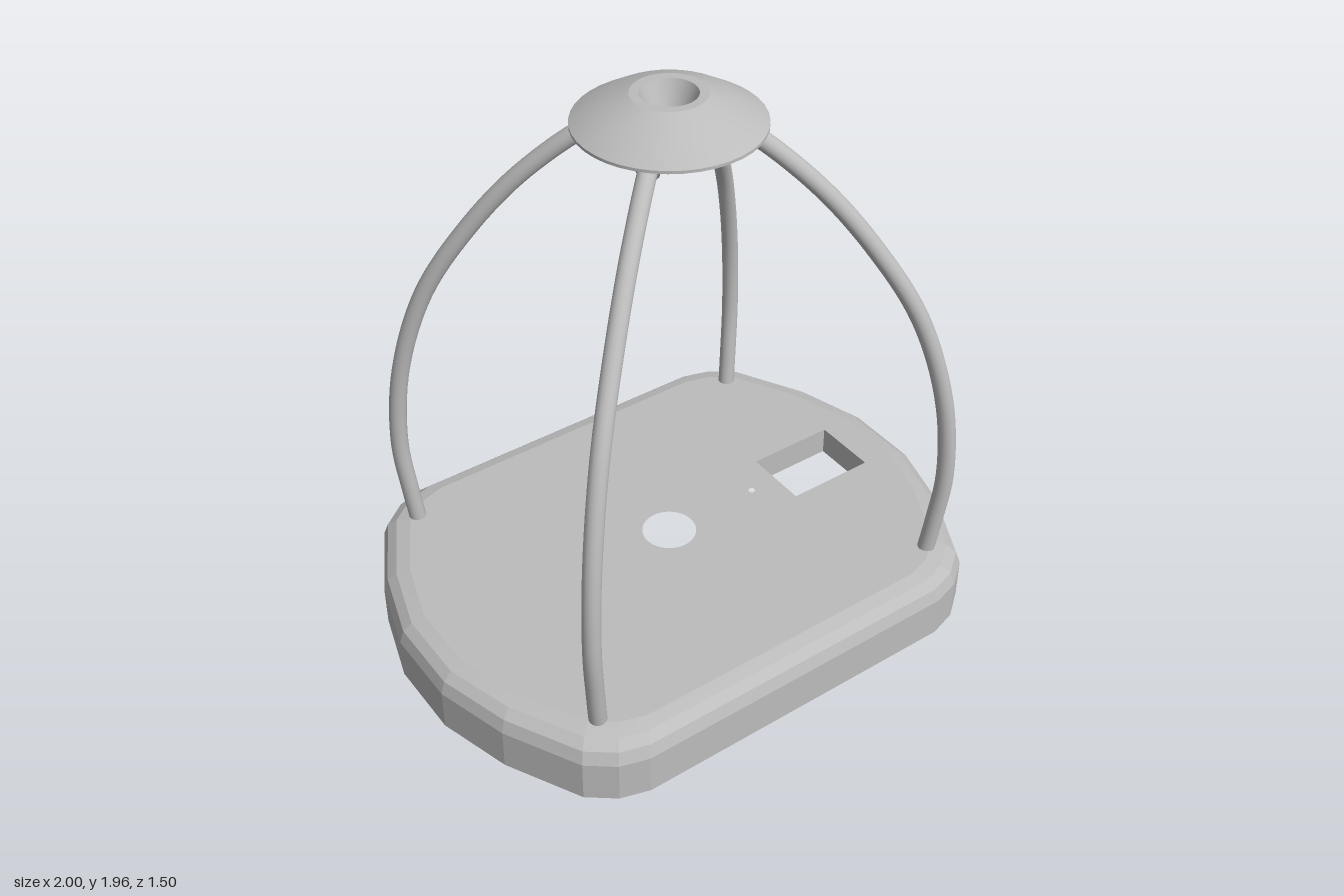
import * as THREE from 'three';
import { toCreasedNormals } from 'three/addons/utils/BufferGeometryUtils.js';

const V = (x, y, z) => new THREE.Vector3(x, y, z);

// One quarter of the base outline, mirrored to a full loop
const quarter = [[1, 0.14], [0.925, 0.395], [0.79, 0.65], [0.7, 0.72], [0.6, 0.75]];
const flip = (sx, sz) => quarter.map(([x, z]) => [x * sx, z * sz]);
const outline = [
  ...flip(1, 1), ...flip(-1, 1).reverse(),
  ...flip(-1, -1), ...flip(1, -1).reverse(),
];
const inset = (d) => outline.map(([x, z]) => [x * (1 - d), z * (1 - d / 0.75)]);

// Skin a series of [inset, height] rings
function ringWall(profile) {
  const pos = [], idx = [], n = outline.length;
  profile.forEach(([d, y]) => inset(d).forEach(([x, z]) => pos.push(x, y, z)));
  for (let j = 0; j < profile.length - 1; j++) {
    for (let i = 0; i < n; i++) {
      const a = j * n + i, b = j * n + (i + 1) % n;
      idx.push(a, a + n, b, b, a + n, b + n);
    }
  }
  const g = new THREE.BufferGeometry();
  g.setAttribute('position', new THREE.Float32BufferAttribute(pos, 3));
  g.setIndex(idx);
  return toCreasedNormals(g, 0.1);
}

function rectPath(Type, x0, x1, h) {
  return new Type([[x0, -h], [x1, -h], [x1, h], [x0, h]].map(([x, y]) => new THREE.Vector2(x, y)));
}
function circlePath(x, r) {
  const p = new THREE.Path();
  p.absarc(x, 0, r, 0, Math.PI * 2, true);
  return p;
}
// Extrude a plan shape upwards from height y
function slab(shape, y, depth) {
  const g = new THREE.ExtrudeGeometry(shape, { depth, bevelEnabled: false, curveSegments: 20 });
  return g.rotateX(-Math.PI / 2).translate(0, y, 0);
}

export function createModel() {
  const group = new THREE.Group();
  const grey = new THREE.MeshStandardMaterial({ color: 0xbcbcbc });
  grey.name = 'grey';
  const add = (name, geo, parent = group) => {
    const m = new THREE.Mesh(geo, grey);
    m.name = name;
    parent.add(m);
    return m;
  };

  // Hollow base: rounded shoulder outside, thin wall inside, open below
  add('baseShell', ringWall([
    [0.09, 0.21], [0.05, 0.195], [0.032, 0.15], [0.03, 0], [0, 0],
    [0, 0.15], [0.015, 0.195], [0.045, 0.222], [0.09, 0.235],
  ]));

  // Top plate with centre hole, pin hole and rectangular window
  const plate = new THREE.Shape(inset(0.09).map(([x, z]) => new THREE.Vector2(x, -z)));
  plate.holes.push(circlePath(0, 0.095), circlePath(0.365, 0.012), rectPath(THREE.Path, 0.475, 0.8, 0.118));
  add('topPlate', slab(plate, 0.21, 0.025));

  // Collar hanging around the window
  const collar = rectPath(THREE.Shape, 0.46, 0.815, 0.133);
  collar.holes.push(rectPath(THREE.Path, 0.475, 0.8, 0.118));
  add('windowCollar', slab(collar, 0.13, 0.08));

  // Fins on the inside of the wall
  const fins = new THREE.Group();
  fins.name = 'wallFins';
  group.add(fins);
  for (const s of [-1, 1]) {
    for (const t of [-1, 1]) {
      add('sideFin', new THREE.BoxGeometry(0.05, 0.16, 0.015), fins).position.set(s * 0.915, 0.12, t * 0.25);
      add('longFin', new THREE.BoxGeometry(0.015, 0.16, 0.05), fins).position.set(s * 0.41, 0.12, t * 0.7);
    }
  }

  // Four arched rods, each with a post below and a socket under the cap
  const arch = [
    [0.68, 0.2], [0.695, 0.35], [0.71, 0.57], [0.685, 0.88], [0.605, 1.2],
    [0.48, 1.46], [0.35, 1.66], [0.2, 1.825], [0.13, 1.875],
  ];
  for (const sx of [-1, 1]) {
    for (const sz of [-1, 1]) {
      const leg = new THREE.Group();
      leg.name = (sz > 0 ? 'front' : 'back') + (sx > 0 ? 'Left' : 'Right') + 'Leg';
      group.add(leg);
      const at = ([s, y]) => V(sx * s, y, sz * s * 0.85);
      const curve = new THREE.CatmullRomCurve3(arch.map(at));
      add('rod', new THREE.TubeGeometry(curve, 48, 0.03, 16), leg);
      add('post', new THREE.CylinderGeometry(0.036, 0.036, 0.17, 16), leg).position.set(sx * 0.68, 0.13, sz * 0.58);

      const a = at([0.19, 1.832]), b = at([0.07, 1.895]);
      const socket = add('socket', new THREE.CylinderGeometry(0.037, 0.037, a.distanceTo(b), 16), leg);
      socket.position.copy(a).lerp(b, 0.5);
      socket.quaternion.setFromUnitVectors(V(0, 1, 0), b.clone().sub(a).normalize());
    }
  }

  // Domed cap with a conical funnel ending in a point below
  const profile = [
    [0, 1.72], [0.095, 1.915], [0.13, 1.925], [0.2, 1.9], [0.27, 1.86], [0.3, 1.86],
    [0.3, 1.87], [0.21, 1.925], [0.12, 1.96], [0.09, 1.96], [0, 1.75],
  ].map(([r, y]) => new THREE.Vector2(r, y));
  add('capFunnel', toCreasedNormals(new THREE.LatheGeometry(profile, 40), 0.3));

  return group;
}
